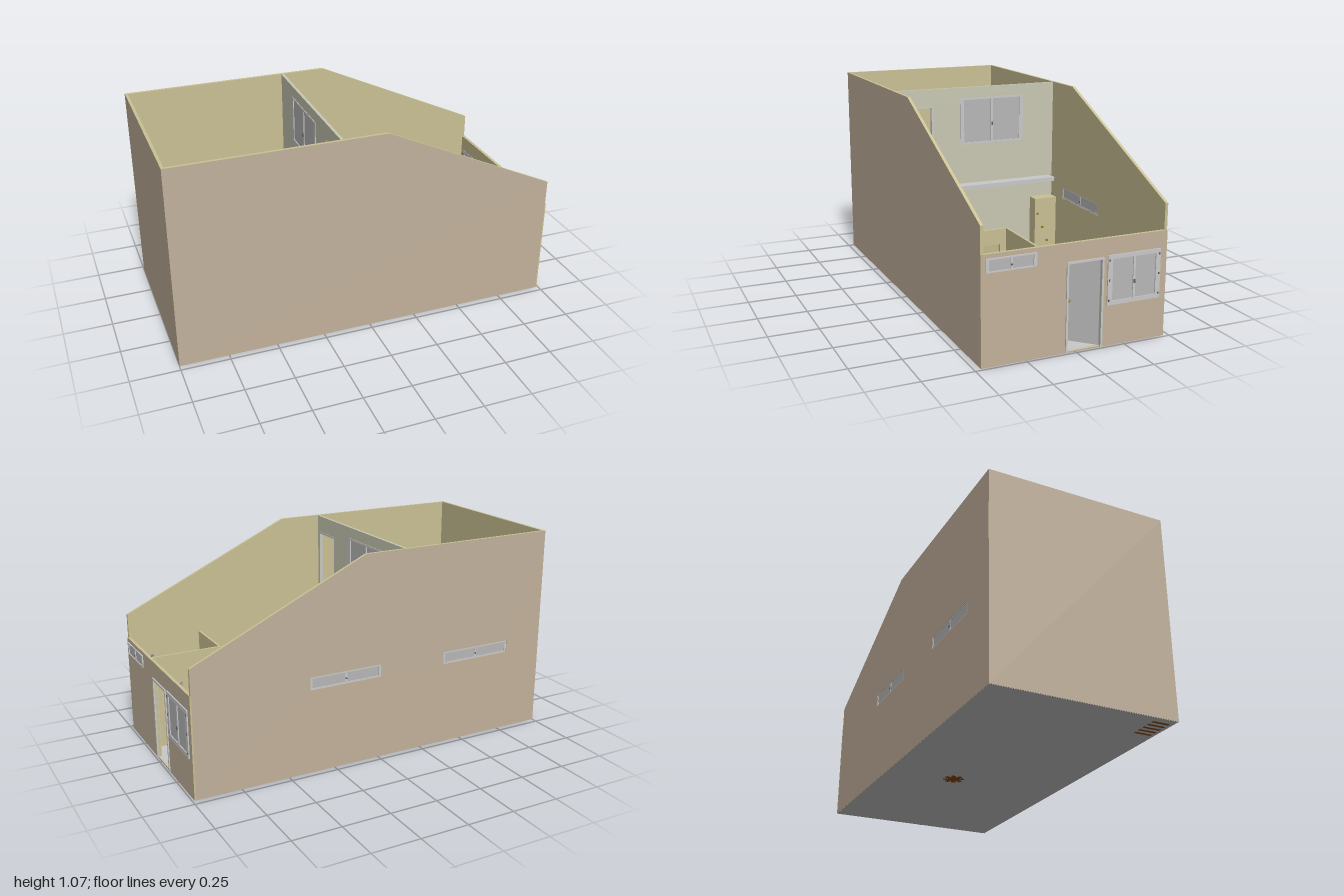
import * as THREE from 'three';

const mat = (name, color) => Object.assign(new THREE.MeshStandardMaterial({ color }), { name });

export function createModel() {
  const house = new THREE.Group();
  house.name = 'house';
  const tan = mat('tan render', 0xc3b29c), cream = mat('cream plaster', 0xcac194);
  const pale = mat('pale partition paint', 0xcac9b4), grey = mat('light grey', 0xcacaca);
  const panel = mat('panel grey', 0xb8b8b8), wood = mat('brown wood', 0x8a4a10);
  const sienna = mat('sienna worktop', 0xa0623a), gold = mat('golden wood', 0xb87a14);
  const dark = mat('dark metal', 0x606060);

  const group = (name, parent = house) => {
    const g = new THREE.Group();
    g.name = name;
    parent.add(g);
    return g;
  };
  const add = (parent, name, geo, material, x = 0, y = 0, z = 0) => {
    const m = new THREE.Mesh(geo, material);
    m.name = name;
    m.position.set(x, y, z);
    parent.add(m);
    return m;
  };
  // box given by its limits on each axis
  const box = (parent, name, material, x0, x1, y0, y1, z0, z1) => add(parent, name,
    new THREE.BoxGeometry(x1 - x0, y1 - y0, z1 - z0), material, (x0 + x1) / 2, (y0 + y1) / 2, (z0 + z1) / 2);
  const cyl = (parent, name, material, r0, r1, h, x, y, z, n = 16) =>
    add(parent, name, new THREE.CylinderGeometry(r0, r1, h, n), material, x, y, z);
  const shape = pts => new THREE.Shape(pts.map(p => new THREE.Vector2(...p)));
  const rect = (a, b, c, d) => [[a, c], [b, c], [b, d], [a, d]];
  // flat plate with openings, extruded along +z
  const plate = (parent, name, pts, holes, depth, material) => {
    const s = shape(pts);
    s.holes = holes.map(h => new THREE.Path(h.map(p => new THREE.Vector2(...p))));
    return add(parent, name, new THREE.ExtrudeGeometry(s, { depth, bevelEnabled: false }), material);
  };
  const turned = (parent, x) => { // local x runs along -z, local z along +x
    const g = group('turnedWall', parent);
    g.rotation.y = Math.PI / 2;
    g.position.x = x;
    return g;
  };

  // floor
  box(house, 'groundFloor', grey, -0.998, 0.987, 0, 0.008, -0.468, 0.468);

  // long side walls with sloping tops; the back one has two slot windows
  const profile = [[-0.999, 0.001], [0.985, 0.001], [0.985, 0.65], [0.08, 1.07], [-0.999, 1.07]];
  const slots = [[-0.01, 0.383], [-0.785, -0.383]];
  const slotHoles = slots.map(([a, b]) => rect(a, b, 0.435, 0.5));
  plate(house, 'frontWall', profile, [], 0.01, [tan, cream]).position.z = 0.46;
  plate(house, 'frontWallLining', profile, [], 0.005, cream).position.z = 0.455;
  plate(house, 'backWall', profile, slotHoles, 0.01, [tan, cream]).position.z = -0.47;
  plate(house, 'backWallLining', profile, slotHoles, 0.005, cream).position.z = -0.46;

  // end walls
  box(house, 'leftEndWall', [cream, tan, cream, tan, tan, tan], -1, -0.985, 0.001, 1.0705, -0.4697, 0.4697);
  const openings = [rect(-0.045, 0.125, 0.008, 0.425), rect(0.165, 0.425, 0.21, 0.43), rect(-0.44, -0.215, 0.443, 0.497)];
  const entry = turned(house, 0);
  entry.name = 'entranceWall';
  const endRect = rect(-0.4702, 0.4702, 0.001, 0.522);
  plate(entry, 'entranceWallOuter', endRect, openings, 0.008, [tan, cream]).position.z = 0.982;
  plate(entry, 'entranceWallLining', rect(-0.455, 0.455, 0.001, 0.522), openings, 0.008, cream).position.z = 0.974;

  // framed window with two sliding panels, centred on the local origin
  const windowUnit = (parent, x, y, z, w, h, bx, by, depth, hinges) => {
    const g = group('window', parent);
    g.position.set(x, y, z);
    const X = w / 2, Y = h / 2, k = 0.006;
    plate(g, 'windowFrame', rect(-X, X, -Y, Y), [-1, 1].map(s => s < 0
      ? rect(-X + bx, -k, -Y + by, Y - by) : rect(k, X - bx, -Y + by, Y - by)), depth, grey).position.z = -depth / 2;
    for (const s of [-1, 1]) {
      add(g, 'windowPanel', new THREE.BoxGeometry(X - bx - k, h - 2 * by, depth * 0.6), panel, s * (X - bx + k) / 2);
      if (hinges) for (const t of [-0.8, 0, 0.8])
        add(g, 'windowHinge', new THREE.BoxGeometry(0.006, 0.01, depth + 0.004), dark, s * (X - 0.008), t * Y);
    }
    add(g, 'windowHandle', new THREE.BoxGeometry(0.008, Math.min(0.018, h * 0.12), depth + 0.008), dark, 0, -h * 0.08);
    return g;
  };
  for (const [a, b] of slots) windowUnit(house, (a + b) / 2, 0.4675, -0.4625, b - a, 0.065, 0.012, 0.008, 0.011);
  windowUnit(entry, 0.295, 0.32, 0.984, 0.28, 0.24, 0.025, 0.02, 0.024, true);
  windowUnit(entry, -0.327, 0.47, 0.984, 0.245, 0.064, 0.015, 0.006, 0.024);

  // door case and half-open leaf
  const doorCase = (parent, u0, u1, y0, y1, z, depth, b = 0.01) => plate(parent, 'doorCase',
    [[u0 - b, y0], [u0, y0], [u0, y1], [u1, y1], [u1, y0], [u1 + b, y0], [u1 + b, y1 + b], [u0 - b, y1 + b]],
    [], depth, grey).position.z = z;
  const doorLeaf = (name, x, z, angle, len, h, material) => {
    const g = group(name);
    g.position.set(x, 0.008, z);
    g.rotation.y = angle;
    box(g, 'doorPanel', material, 0, len, 0, h, -0.004, 0.004);
    for (const s of [-1, 1]) {
      const k = add(g, 'doorKnob', new THREE.SphereGeometry(0.008, 12, 8), gold, len - 0.012, 0.2, s * 0.012);
      k.scale.z = 1.3;
    }
  };
  doorCase(entry, -0.045, 0.125, 0.002, 0.425, 0.972, 0.024);
  doorLeaf('entranceDoor', 0.978, -0.125, Math.PI * 1.25, 0.155, 0.412, panel);

  // loft floor, partition with door opening and window
  box(house, 'loftFloor', grey, -0.985, -0.15, 0.522, 0.545, -0.44, 0.455);
  box(house, 'loftLedge', grey, -0.15, -0.08, 0.522, 0.545, -0.44, 0.25);
  const loft = turned(house, -0.157);
  loft.name = 'loftPartition';
  plate(loft, 'partitionWall', rect(-0.455, 0.455, 0.545, 1.068),
    [rect(-0.43, -0.262, 0.546, 0.97), rect(-0.09, 0.26, 0.77, 1.0)], 0.015, pale);
  doorCase(loft, -0.43, -0.262, 0.546, 0.97, -0.002, 0.019);
  windowUnit(loft, 0.085, 0.885, 0.0075, 0.37, 0.25, 0.022, 0.01, 0.022);

  // lower partition under the loft with a cupboard
  box(house, 'lowerPartition', pale, -0.157, -0.142, 0.008, 0.522, -0.455, 0.25);
  const cupboard = group('cupboard');
  box(cupboard, 'cupboardBody', cream, -0.142, -0.076, 0.008, 0.43, -0.45, -0.32);
  for (let i = 0; i < 4; i++)
    box(cupboard, 'cupboardHandle', gold, -0.076, -0.068, 0.1 + i * 0.08, 0.11 + i * 0.08, -0.43 + i * 0.03, -0.42 + i * 0.03);

  // staircase with sloping handrail
  const stairs = group('staircase'), n = 11, run = 0.46 / n, rise = 0.537 / n;
  for (let i = 0; i < n; i++) {
    const x = 0.31 - (i + 1) * run, y = 0.008 + (i + 1) * rise;
    box(stairs, 'step', wood, x, x + run - 0.001, Math.max(0.008, y - rise * 1.3), y, 0.252, 0.454);
    if (i % 2 === 0) box(stairs, 'baluster', wood, x + run / 2 - 0.003, x + run / 2 + 0.003, y, y + 0.19, 0.252, 0.257);
  }
  plate(stairs, 'handrail', [[0.31, 0.235], [0.31, 0.255], [-0.14, 0.755], [-0.14, 0.735]], [], 0.005, wood).position.z = 0.252;

  // drawer units
  const drawers = (name, x1, z0, z1, h, count) => {
    const g = group(name), y0 = 0.545, step = h / count;
    box(g, 'drawerBody', wood, -0.984, x1 - 0.004, y0, y0 + h, z0, z1);
    for (let i = 0; i < count; i++) {
      box(g, 'drawerFront', wood, x1 - 0.004, x1, y0 + i * step + 0.004, y0 + (i + 1) * step - 0.004, z0 + 0.004, z1 - 0.004);
      box(g, 'drawerKnob', dark, x1, x1 + 0.005, y0 + (i + 0.5) * step, y0 + (i + 0.5) * step + 0.005, (z0 + z1) / 2 - 0.004, (z0 + z1) / 2 + 0.004);
    }
  };
  drawers('chestOfDrawers', -0.875, 0.15, 0.36, 0.168, 4);
  drawers('nightstand', -0.905, -0.36, -0.285, 0.1, 2);

  // bed
  const bed = group('bed');
  box(bed, 'mattress', cream, -0.965, -0.575, 0.585, 0.635, -0.185, 0.105);
  for (const x of [-0.972, -0.568]) {
    box(bed, 'bedEndRail', wood, x - 0.006, x + 0.006, 0.58, 0.645, -0.19, 0.11);
    for (const z of [-0.192, 0.112]) {
      cyl(bed, 'bedPost', gold, 0.011, 0.011, 0.12, x, 0.605, z);
      add(bed, 'bedKnob', new THREE.SphereGeometry(0.012, 12, 8), gold, x, 0.668, z);
    }
  }
  for (const z of [-0.192, 0.112]) box(bed, 'bedSideRail', gold, -0.97, -0.57, 0.58, 0.64, z - 0.006, z + 0.006);

  // round table and three chairs
  const table = group('table');
  cyl(table, 'tableTop', wood, 0.133, 0.133, 0.012, 0.145, 0.16, -0.115, 40);
  cyl(table, 'tableColumn', wood, 0.014, 0.018, 0.15, 0.145, 0.08, -0.115);
  for (let i = 0; i < 4; i++) {
    const foot = add(table, 'tableFoot', new THREE.BoxGeometry(0.11, 0.012, 0.022), wood, 0.145, 0.0058, -0.115);
    foot.rotation.y = 0.4 + i * Math.PI / 4;
  }
  for (const [x, z, a] of [[0.11, -0.265, Math.PI], [0.295, -0.118, Math.PI / 2], [-0.012, -0.062, -Math.PI / 2 + 0.25]]) {
    const c = group('chair');
    c.position.set(x, 0, z);
    c.rotation.y = a;
    box(c, 'chairSeat', wood, -0.038, 0.038, 0.09, 0.1, -0.042, 0.042);
    box(c, 'chairBack', wood, -0.038, 0.038, 0.13, 0.195, 0.035, 0.043);
    for (const s of [-1, 1]) {
      box(c, 'chairFrontLeg', wood, s * 0.034 - 0.004, s * 0.034 + 0.004, 0.008, 0.09, -0.04, -0.032);
      box(c, 'chairBackLeg', wood, s * 0.034 - 0.004, s * 0.034 + 0.004, 0.008, 0.19, 0.034, 0.042);
    }
  }

  // kitchen units
  box(house, 'worktop', sienna, 0.41, 0.77, 0.175, 0.19, -0.454, -0.25);
  box(house, 'kitchenCabinet', sienna, 0.415, 0.765, 0.008, 0.175, -0.454, -0.26);
  box(house, 'kitchenAppliance', grey, 0.77, 0.974, 0.008, 0.185, -0.454, -0.25);
  cyl(house, 'kitchenKnob', grey, 0.012, 0.012, 0.01, 0.47, 0.14, -0.252).rotation.x = Math.PI / 2;

  // bathroom walls and door
  box(house, 'bathroomSideWall', cream, 0.585, 0.974, 0.008, 0.5, 0.157, 0.169);
  const bath = turned(house, 0.585);
  plate(bath, 'bathroomDoorWall', rect(-0.455, -0.169, 0.008, 0.5), [rect(-0.36, -0.2, 0.009, 0.425)], 0.012, cream);
  doorLeaf('bathroomDoor', 0.582, 0.2, -Math.PI * 0.72, 0.16, 0.412, cream);

  // toilet
  const toilet = group('toilet');
  const bowl = add(toilet, 'toiletBowl', new THREE.LatheGeometry([[0.024, 0.0003], [0.022, 0.03], [0.04, 0.075], [0.04, 0.085], [0.028, 0.085], [0.01, 0.05], [0, 0.05]]
    .map(p => new THREE.Vector2(...p)), 28), grey, 0.705, 0, 0.275);
  bowl.scale.z = 1.35;
  box(toilet, 'toiletTank', grey, 0.67, 0.74, 0.07, 0.16, 0.175, 0.205);
  box(toilet, 'toiletBase', grey, 0.69, 0.72, 0.008, 0.075, 0.18, 0.26);

  // shower tray with taps and overhead rose
  const shower = group('shower');
  box(shower, 'trayBase', grey, 0.782, 0.972, 0.008, 0.02, 0.19, 0.452);
  const rim = plate(shower, 'trayRim', rect(0.782, 0.972, -0.452, -0.19), [rect(0.8, 0.954, -0.385, -0.21)], 0.025, grey);
  rim.rotation.x = -Math.PI / 2;
  rim.position.y = 0.02;
  const pipe = new THREE.CatmullRomCurve3([[0.875, 0.2, 0.445], [0.875, 0.4, 0.44], [0.875, 0.43, 0.39], [0.875, 0.41, 0.29]]
    .map(p => new THREE.Vector3(...p)));
  add(shower, 'showerPipe', new THREE.TubeGeometry(pipe, 24, 0.004, 8), panel);
  cyl(shower, 'showerRose', cream, 0.008, 0.02, 0.02, 0.875, 0.4, 0.285);
  for (const x of [0.85, 0.875, 0.9]) cyl(shower, 'showerTap', dark, 0.007, 0.007, 0.015, x, 0.2, 0.42);

  // slatted bench in the lower room
  for (let i = 0; i < 5; i++)
    box(house, 'benchSlat', wood, -0.96 + i * 0.035, -0.945 + i * 0.035, -0.0005, 0.1, 0.36, 0.45);
  return house;
}
